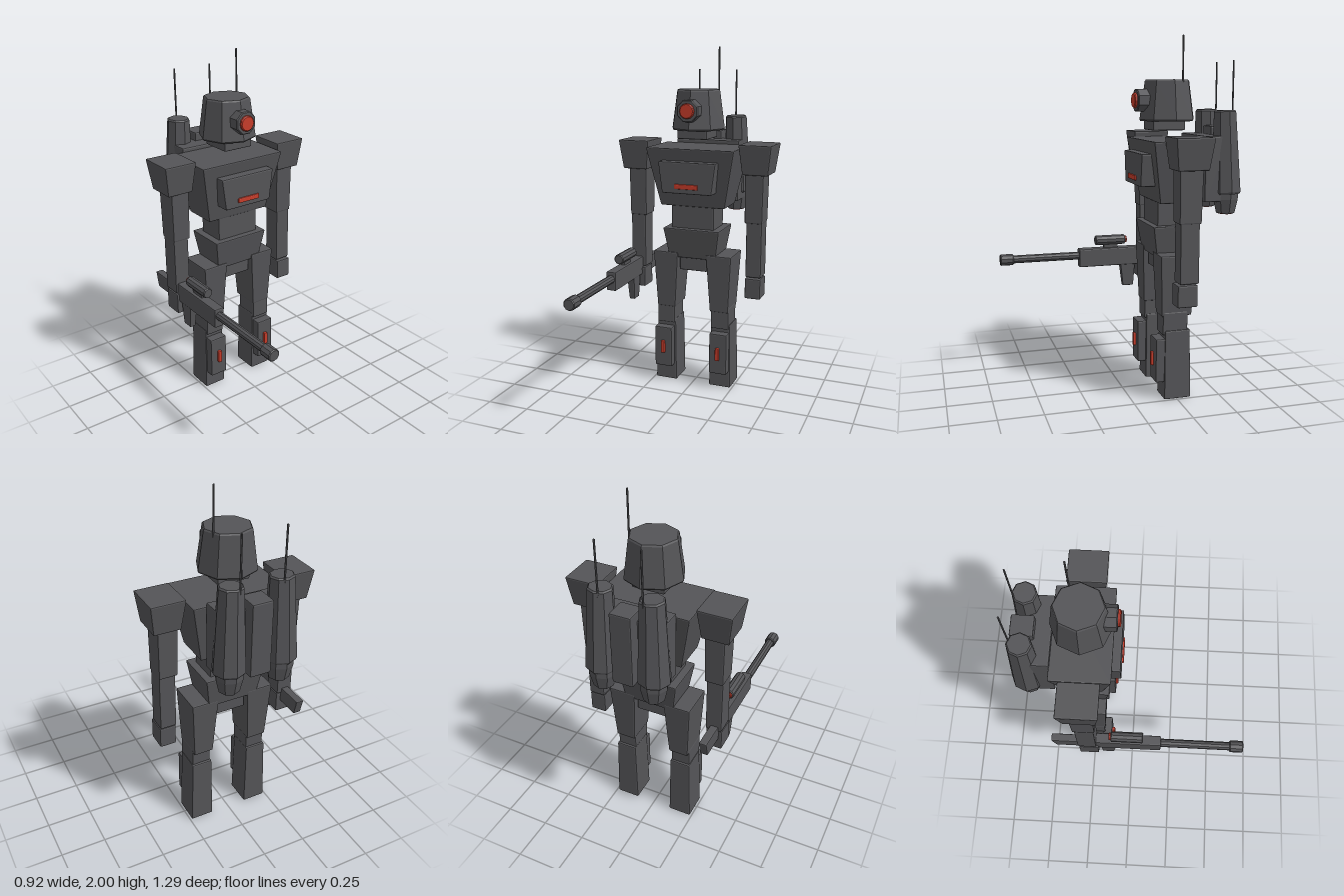
import * as THREE from 'three';
import { RoundedBoxGeometry } from 'three/addons/geometries/RoundedBoxGeometry.js';

const armour = new THREE.MeshStandardMaterial({ color: 0x545457 });
armour.name = 'dark grey armour';
const glow = new THREE.MeshStandardMaterial({ color: 0xc63c2a });
glow.name = 'red light';

export function createModel() {
  const model = new THREE.Group();
  model.name = 'robot';

  function add(name, geo, mat = armour) {
    const flat = geo.index ? geo.toNonIndexed() : geo;
    flat.computeVertexNormals();
    const mesh = new THREE.Mesh(flat, mat);
    mesh.name = name;
    model.add(mesh);
    return mesh;
  }

  // Bevelled block between two heights; bottom and top are [x0, x1, z0, z1]
  function block(name, y0, y1, bottom, top = bottom, mat = armour, bevel = 0.007) {
    const geo = new RoundedBoxGeometry(1, 1, 1, 1, 0.01);
    const size = [top[1] - top[0], y1 - y0, top[3] - top[2]];
    const p = geo.attributes.position;
    // keep the bevel the same real width on every axis
    const frac = (v, s) => {
      const a = Math.abs(v), b = Math.min(bevel / s, 0.4);
      const k = a > 0.49 ? 0.5 - b + ((a - 0.49) / 0.01) * b : (a / 0.49) * (0.5 - b);
      return 0.5 + Math.sign(v) * k;
    };
    const mix = THREE.MathUtils.lerp;
    for (let i = 0; i < p.count; i++) {
      const u = frac(p.getX(i), size[0]), t = frac(p.getY(i), size[1]), w = frac(p.getZ(i), size[2]);
      const e = bottom.map((b, k) => mix(b, top[k], t));
      p.setXYZ(i, mix(e[0], e[1], u), mix(y0, y1, t), mix(e[2], e[3], w));
    }
    return add(name, geo, mat);
  }

  // The same block on both sides, given for the +x side
  function pair(name, y0, y1, bottom, top = bottom, mat = armour, bevel = 0.007) {
    const flip = ([a, b, c, d]) => [-b, -a, c, d];
    block('left' + name, y0, y1, bottom, top, mat, bevel);
    block('right' + name, y0, y1, flip(bottom), flip(top), mat, bevel);
  }

  // Turned part along y or z, profile points are [radius, position]
  function turned(name, pts, sides, [x, y, z], alongZ = false, mat = armour, phase = 0) {
    const profile = pts.map(([r, h]) => new THREE.Vector2(r, h));
    const geo = new THREE.LatheGeometry(profile, sides, phase);
    if (alongZ) geo.rotateX(Math.PI / 2);
    const mesh = add(name, geo, mat);
    mesh.position.set(x, y, z);
    return mesh;
  }
  const rod = (r, a, b, c = 0.005) => [[0, a], [r - c, a], [r, a + c], [r, b - c], [r - c, b], [0, b]];

  // Head with one eye
  turned('head', [[0, 1.54], [0.154, 1.54], [0.16, 1.548], [0.13, 1.757], [0.124, 1.765], [0, 1.765]],
    8, [0, 0, -0.258]);
  turned('eyeRing', rod(0.066, -0.18, -0.075), 8, [0, 1.653, 0], true, armour, Math.PI / 8);
  turned('eye', rod(0.043, -0.09, -0.061), 12, [0, 1.653, 0], true, glow);
  turned('headAntenna', rod(0.005, 1.6, 2.0, 0.001), 6, [0.105, 0, -0.312]);
  block('neck', 1.49, 1.56, [-0.09, 0.09, -0.335, -0.15]);

  // Torso
  block('torso', 1.1, 1.44, [-0.195, 0.195, -0.36, -0.16], [-0.265, 0.265, -0.42, -0.1]);
  block('chestPlate', 1.19, 1.37, [-0.148, 0.148, -0.16, -0.06], [-0.172, 0.172, -0.14, -0.06]);
  block('chestLight', 1.218, 1.246, [-0.07, 0.07, -0.07, -0.051], undefined, glow, 0.005);
  block('waist', 0.95, 1.12, [-0.13, 0.13, -0.34, -0.165]);
  block('pelvis', 0.79, 0.97, [-0.143, 0.143, -0.353, -0.16], [-0.172, 0.172, -0.38, -0.13]);
  block('crotch', 0.71, 0.81, [-0.085, 0.085, -0.33, -0.18]);

  // Legs
  pair('Thigh', 0.475, 0.82, [0.11, 0.222, -0.337, -0.165], [0.087, 0.242, -0.358, -0.15]);
  pair('Knee', 0.37, 0.5, [0.115, 0.225, -0.315, -0.17]);
  pair('Shin', 0, 0.395, [0.105, 0.24, -0.332, -0.177], [0.112, 0.23, -0.328, -0.182]);
  pair('ShinPad', 0.1, 0.35, [0.12, 0.228, -0.2, -0.13]);
  pair('ShinLight', 0.188, 0.266, [0.161, 0.185, -0.14, -0.114], undefined, glow, 0.005);

  // Arms
  pair('Shoulder', 1.3, 1.47, [0.292, 0.44, -0.342, -0.172], [0.272, 0.462, -0.366, -0.152]);
  pair('UpperArm', 1.02, 1.32, [0.305, 0.408, -0.316, -0.194], [0.302, 0.412, -0.322, -0.19]);
  pair('Forearm', 0.7, 1.03, [0.314, 0.406, -0.307, -0.2]);
  pair('Hand', 0.575, 0.695, [0.315, 0.408, -0.3, -0.188]);

  // Backpack
  block('backpack', 1.1, 1.462, [-0.195, 0.195, -0.555, -0.415]);
  block('backpackSpine', 1.11, 1.51, [-0.058, 0.058, -0.62, -0.5]);
  for (const [side, s] of [['left', 1], ['right', -1]]) {
    const pod = turned(side + 'ThrusterPod', [[0, 0], [0.08, 0], [0.087, 0.012], [0.065, 0.452], [0.058, 0.46], [0, 0.46]],
      8, [s * 0.146, 1.14, -0.56]);
    pod.rotation.set(0.026, 0, s * 0.02);
    turned(side + 'Nozzle', [[0, 0], [0.05, 0], [0.056, 0.006], [0.073, 0.08], [0.073, 0.13]],
      8, [s * 0.143, 1.03, -0.56]);
    turned(side + 'NozzleGlow', rod(0.042, 0, 0.008, 0.002), 8, [s * 0.143, 1.026, -0.56], false, glow);
    turned(side + 'PodAntenna', rod(0.005, 1.5, 1.87, 0.001), 6, [s * 0.118, 0, -0.602]);
  }

  // Rifle in the right hand
  const gx = -0.365;
  block('rifleBody', 0.65, 0.76, [gx - 0.03, gx + 0.03, -0.28, 0.174]);
  block('rifleStock', 0.64, 0.73, [gx - 0.023, gx + 0.023, -0.44, -0.26], [gx - 0.023, gx + 0.023, -0.463, -0.26]);
  block('rifleGrip', 0.515, 0.69, [gx - 0.017, gx + 0.017, -0.168, -0.102], [gx - 0.026, gx + 0.026, -0.18, -0.08]);
  turned('rifleBarrel', rod(0.024, 0.15, 0.6), 10, [gx, 0.718, 0], true);
  turned('rifleMuzzle', rod(0.034, 0.57, 0.648), 10, [gx, 0.718, 0], true);
  block('scopeMount', 0.75, 0.79, [gx - 0.012, gx + 0.012, -0.07, 0.02]);
  turned('scope', rod(0.03, -0.115, 0.07), 10, [gx, 0.806, 0], true);
  turned('scopeLens', rod(0.021, -0.127, -0.11, 0.003), 10, [gx, 0.806, 0], true, glow);

  return model;
}
